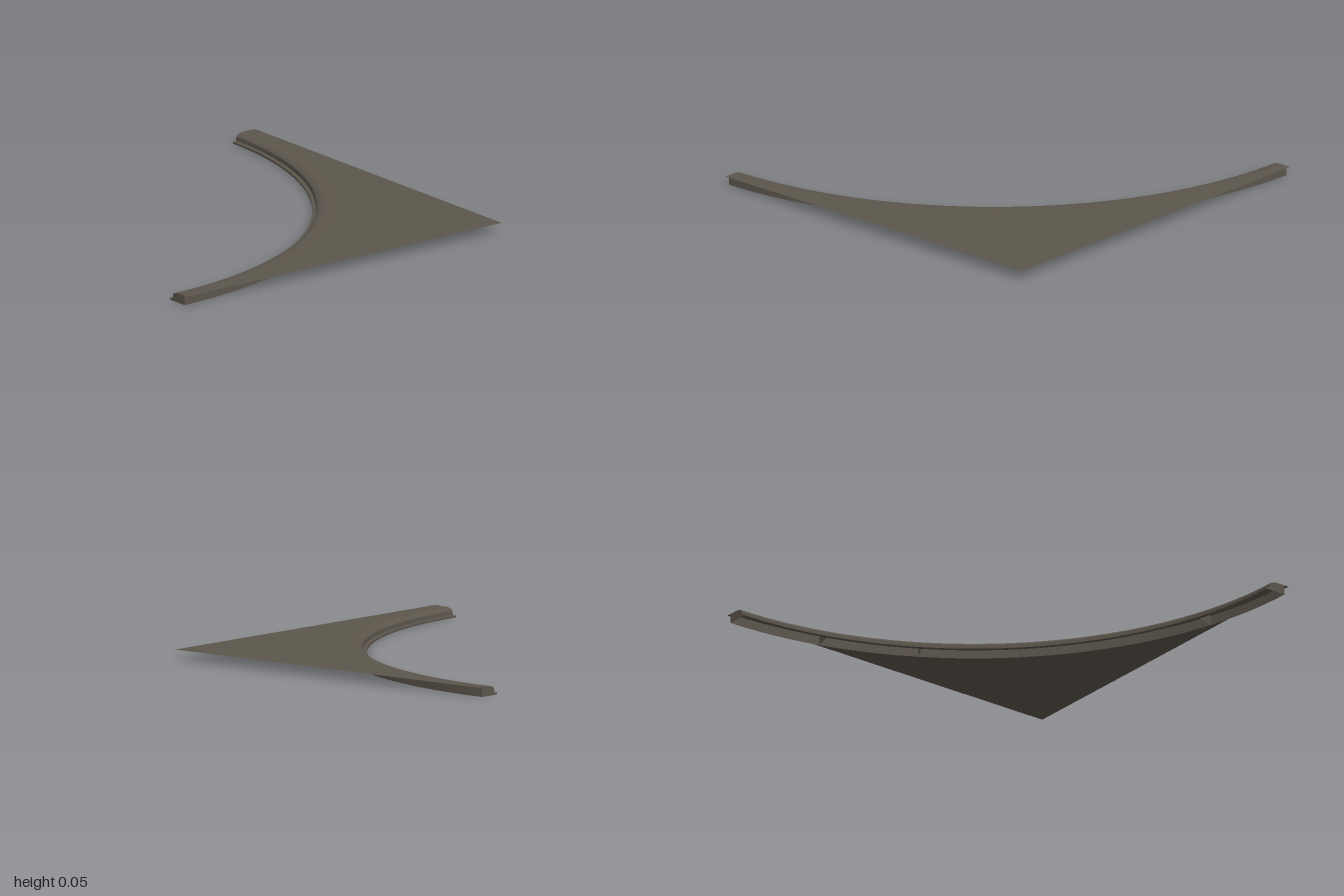
import * as THREE from 'three';
import { toCreasedNormals } from 'three/addons/utils/BufferGeometryUtils.js';

const HEIGHT = 0.05;
const OUTER = 1.975;
const SEGMENTS = 48;

// Cross-section of the curved moulding: [radius, height], from outer foot to inner lip
const PROFILE = [
  [OUTER, 0], [OUTER, HEIGHT], [1.925, HEIGHT], [1.905, 0.047], [1.89, 0.041],
  [1.882, 0.032], [1.88, 0.012], [1.86, 0.01], [1.86, 0], [1.88, 0],
].map(([r, y]) => new THREE.Vector2(r, y));

export function createModel() {
  const group = new THREE.Group();
  group.name = 'cornerMoulding';
  const stone = new THREE.MeshStandardMaterial({ color: 0x5c564c, side: THREE.DoubleSide });
  stone.name = 'dark grey brown';

  const add = (name, geometry, parent = group) => {
    const mesh = new THREE.Mesh(geometry, stone);
    mesh.name = name;
    parent.add(mesh);
    return mesh;
  };

  // Everything curved turns about the front left-hand corner of the square
  const arc = new THREE.Group();
  arc.name = 'quarterArc';
  arc.position.set(-1, 0, 1);
  group.add(arc);

  // Hollow curved moulding
  const sweep = new THREE.LatheGeometry(PROFILE, SEGMENTS, Math.PI / 2, Math.PI / 2);
  add('curvedMoulding', toCreasedNormals(sweep, 0.6), arc);

  // End caps and the ribs inside the hollow, every 15 degrees
  const section = new THREE.ShapeGeometry(new THREE.Shape(PROFILE));
  for (let i = 0; i <= 6; i++) {
    const rib = add(i % 6 ? 'innerRib' : 'endCap', section, arc);
    rib.rotation.y = (i / 6) * Math.PI / 2;
  }

  // Thin spandrel sheet filling the corner behind the arc
  const corner = new THREE.Shape();
  corner.moveTo(1, -1);
  corner.lineTo(1, 1);
  corner.lineTo(-1, 1);
  corner.lineTo(-1, OUTER - 1);
  corner.absarc(-1, -1, OUTER, Math.PI / 2, 0, true);
  const sheet = new THREE.ShapeGeometry(corner, SEGMENTS);
  sheet.rotateX(-Math.PI / 2);
  add('cornerSheet', sheet).position.y = HEIGHT;

  return group;
}
